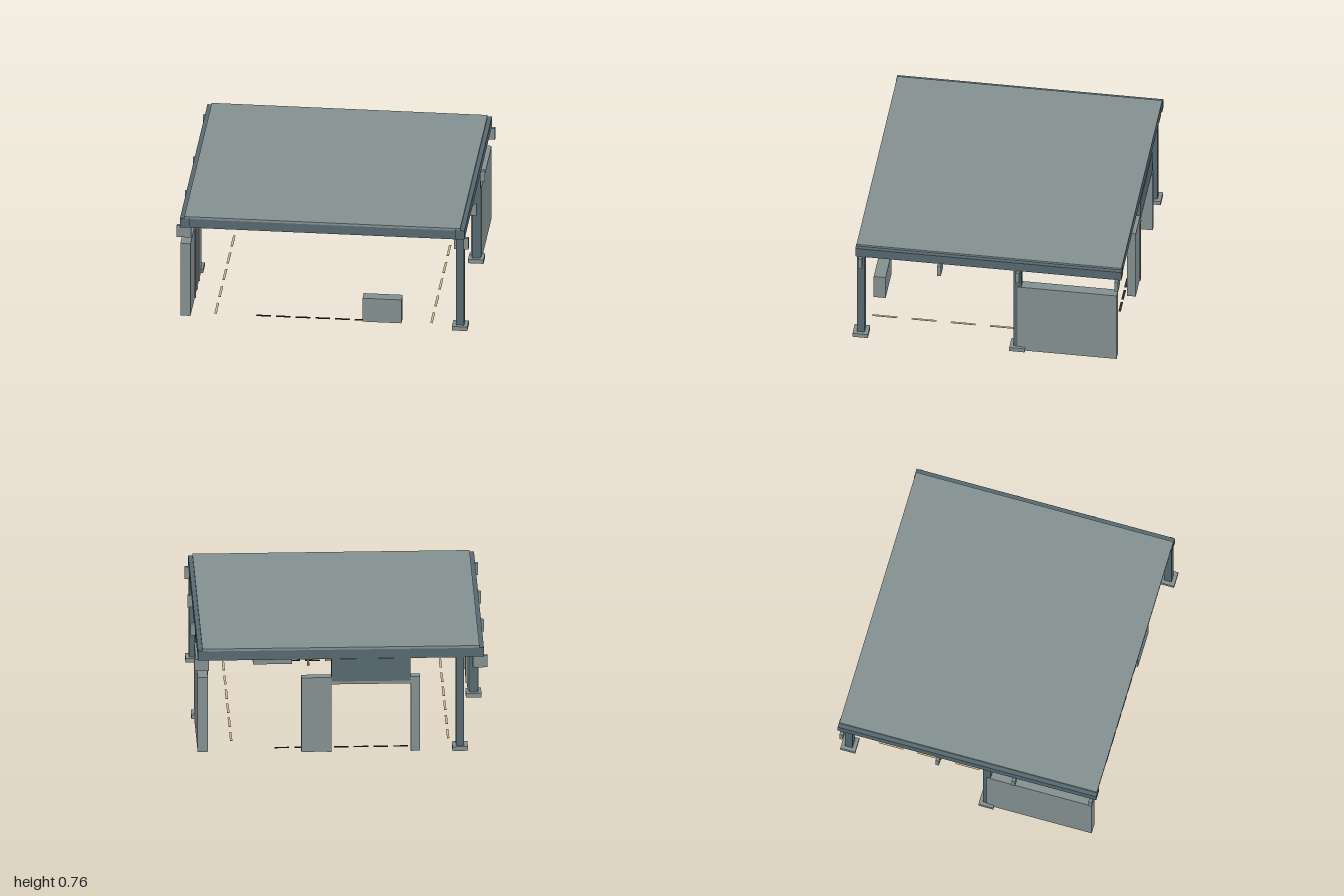
import * as THREE from 'three';

const mat = (name, color) => {
  const m = new THREE.MeshStandardMaterial({ color });
  m.name = name;
  return m;
};

export function createModel() {
  const panelGray = mat('panelGray', 0x848f90);
  const steelSlate = mat('steelSlate', 0x56686f);
  const fixtureDark = mat('fixtureDark', 0x2b2c2d);
  const hangerBeige = mat('hangerBeige', 0xcab98a);
  const copper = mat('copper', 0xb07548);
  const model = new THREE.Group();
  model.name = 'shelterBay';

  // Box given by its extents along each axis
  const box = (name, m, [x0, x1], [y0, y1], [z0, z1]) => {
    const mesh = new THREE.Mesh(new THREE.BoxGeometry(x1 - x0, y1 - y0, z1 - z0), m);
    mesh.position.set((x0 + x1) / 2, (y0 + y1) / 2, (z0 + z1) / 2);
    mesh.name = name;
    model.add(mesh);
  };
  const around = (c, half) => [c - half, c + half];
  // Cylinder lying along z
  const rod = (name, m, r, length, x, y, z) => {
    const mesh = new THREE.Mesh(new THREE.CylinderGeometry(r, r, length, 12), m);
    mesh.rotation.x = Math.PI / 2;
    mesh.position.set(x, y, z);
    mesh.name = name;
    model.add(mesh);
  };

  // Roof sheet
  box('roof', panelGray, [-0.945, 0.945], [0.743, 0.76], [-0.916, 0.91]);

  // Side beams, cross beams and the brackets at their ends
  for (const s of [-1, 1]) {
    box('sideBeam', steelSlate, around(s * 0.943, 0.032), [0.68, 0.747], [-0.92, 0.914]);
  }
  for (const z of [0.878, 0.333, -0.207, -0.888]) {
    box('crossBeam', steelSlate, [-0.911, 0.911], [0.675, 0.743], around(z, 0.026));
    for (const s of [-1, 1]) {
      box('beamBracket', panelGray, around(s * 0.95, 0.05), [0.595, 0.68], around(z, 0.0125));
    }
  }

  // Columns with base plates
  for (const [x, z] of [[0.943, 0.877], [0.943, -0.203], [-0.943, 0.137], [-0.813, -0.88]]) {
    box('column', steelSlate, around(x, 0.028), [0.03, 0.68], around(z, 0.027));
    box('columnBase', panelGray, around(x, 0.053), [0, 0.03], around(z, 0.053));
  }

  // Side walls with ribs on the inner faces
  for (const s of [-1, 1]) {
    const zs = s < 0 ? [0.137, 0.882] : [-0.887, -0.203];
    box('sideWall', panelGray, around(s * 0.941, 0.035), [0, 0.543], zs);
    for (const z of [0.61, 0.475, 0.34]) {
      box('wallRib', panelGray, around(s * 0.902, 0.005), [0.012, 0.53], around(-s * z, 0.008));
    }
  }

  // Back wall pieces and the lintel: slate box, gray header and front cover
  box('backWallRight', panelGray, [-0.54, -0.5], [0, 0.54], [-0.914, -0.855]);
  box('backWallLeft', panelGray, [0.09, 0.27], [0, 0.54], [-0.914, -0.855]);
  box('lintel', steelSlate, [-0.475, 0.065], [0.512, 0.676], [-0.918, -0.855]);
  box('lintelHeader', panelGray, [-0.475, 0.065], [0.49, 0.512], [-0.914, -0.855]);
  box('lintelCover', panelGray, [-0.463, 0.053], [0.49, 0.655], [-0.855, -0.838]);

  // Door jambs with bolts
  for (const x of [-0.4925, 0.08]) {
    box('doorJamb', panelGray, around(x, 0.0165), [0, 0.49], [-0.92, -0.838]);
    box('jambTop', panelGray, around(x, 0.0165), [0.49, 0.54], [-0.914, -0.855]);
    for (const y of [0.05, 0.445]) rod('jambBolt', copper, 0.014, 0.008, x, y, -0.835);
  }

  // Low cabinet at the front
  box('cabinet', panelGray, [0.27, 0.537], [0, 0.176], [0.77, 0.852]);

  // Copper pipes with two hangers each
  for (const x of [-0.225, 0, 0.22]) {
    rod('pipe', copper, 0.008, 0.61, x, 0.607, -0.54);
    for (const z of [-0.41, -0.74]) {
      box('pipeHanger', hangerBeige, around(x, 0.016), [0.617, 0.676], around(z, 0.017));
      box('pipeHangerEnd', hangerBeige, around(x, 0.006), [0.607, 0.617], around(z, 0.01));
    }
  }
  for (const z of [-0.41, -0.74]) {
    box('hangerRail', steelSlate, [-0.911, 0.911], [0.676, 0.743], around(z, 0.016));
  }

  // Ceiling strip fixtures with a pale lens
  for (const z of [0.34, -0.61]) {
    box('stripFixture', fixtureDark, [-0.21, 0.2], [0.66, z > 0 ? 0.676 : 0.743], around(z, 0.024));
    box('stripLens', hangerBeige, [-0.2, 0.19], [0.656, 0.66], around(z, 0.017));
  }

  // Dashed floor markings along all four sides
  for (const s of [-1, 1]) {
    for (let i = 0; i < 6; i++) {
      box('sideMarking', hangerBeige, around(s * 0.74, 0.008), [0, 0.003], around(0.745 - i * 0.27, 0.085));
    }
    for (let i = 0; i < 7; i++) {
      box('endMarking', fixtureDark, around(-0.41 + i * 0.135, 0.05), [0, 0.004], around(s * 0.83, 0.008));
    }
  }
  return model;
}
